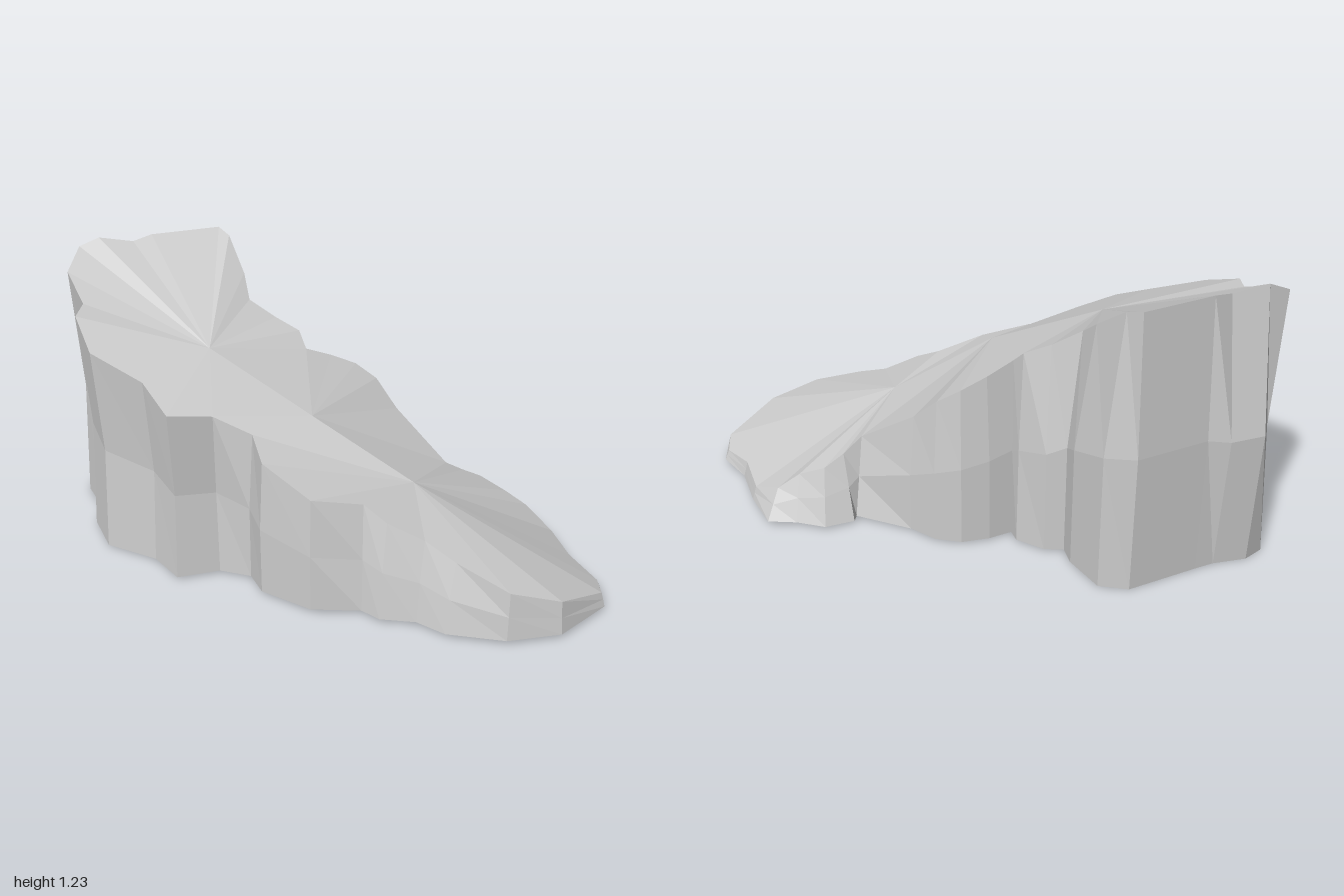
import * as THREE from 'three';

// Ridge points on the slope, from the high end to the toe
const CREST = [-0.45, 0.93, -0.25];
const SADDLE = [-0.1, 0.72, 0.1];
const RAMP = [0.28, 0.45, 0.33];

// Stretches of the rim, clockwise seen from above. Each fans to one ridge point;
// its wall leans out by flare at the foot and swells by bulge at mid height.
const stretches = [
  // tall back end, swollen half and flatter half
  { hub: CREST, flare: 0.04, bulge: 0.07, rim: [
    [-0.79, 1.235, -0.91], [-0.64, 1.21, -0.88]] },
  { hub: CREST, flare: 0.02, bulge: 0.02, rim: [
    [-0.55, 1.225, -0.9], [-0.23, 1.22, -0.91]] },
  // tall left wall
  { hub: CREST, flare: 0.08, bulge: 0.04, rim: [
    [-0.2, 1.2, -0.84], [-0.18, 1.08, -0.66], [-0.19, 1, -0.54], [-0.09, 0.93, -0.47]] },
  { hub: CREST, flare: 0.04, bulge: 0.01, rim: [[0, 0.88, -0.4]] },
  // left wall down the slope
  { hub: SADDLE, flare: 0.035, bulge: 0.015, rim: [
    [0.01, 0.82, -0.33], [0.13, 0.77, -0.33], [0.24, 0.72, -0.31],
    [0.32, 0.66, -0.25], [0.38, 0.55, -0.14]] },
  // left side of the toe
  { hub: RAMP, flare: 0.09, bulge: 0, rim: [
    [0.53, 0.37, 0.1], [0.62, 0.31, 0.09], [0.71, 0.26, 0.09],
    [0.8, 0.21, 0.17], [0.89, 0.14, 0.21]] },
  // low toe
  { hub: RAMP, flare: 0.02, bulge: 0, rim: [
    [0.95, 0.08, 0.36], [0.93, 0.09, 0.57], [0.97, 0.07, 0.75],
    [0.93, 0.09, 0.86], [0.68, 0.18, 0.97], [0.46, 0.25, 0.94]] },
  // right wall near the toe
  { hub: RAMP, flare: 0.08, bulge: 0.01, rim: [
    [0.29, 0.33, 0.78], [0.2, 0.38, 0.66], [0.06, 0.45, 0.59], [-0.01, 0.5, 0.5]] },
  // notch in the right wall
  { hub: RAMP, flare: 0.02, bulge: 0.01, rim: [[-0.23, 0.55, 0.48], [-0.38, 0.65, 0.3]] },
  { hub: SADDLE, flare: 0.04, bulge: 0.015, rim: [[-0.38, 0.71, 0.16]] },
  // tall right wall
  { hub: CREST, flare: 0, bulge: -0.03, rim: [
    [-0.53, 0.79, 0.1], [-0.72, 0.82, 0.09], [-0.78, 0.9, -0.08], [-0.96, 0.98, -0.26],
    [-0.98, 1.06, -0.47], [-0.93, 1.07, -0.57], [-0.96, 1.14, -0.78], [-0.88, 1.2, -0.92]] },
];

const loop = stretches.flatMap(({ rim, ...wall }) => rim.map((point) => ({ ...wall, rim: point })));
const at = (i) => loop[(i + loop.length) % loop.length];

// Foot and mid-height rings, pushed along the outward normal of the rim
loop.forEach((p, i) => {
  const a = at(i - 1).rim, b = at(i + 1).rim;
  const dx = b[0] - a[0], dz = b[2] - a[2], len = Math.hypot(dx, dz);
  const [x, y, z] = p.rim;
  const push = (d, height) => [x + (dz / len) * d, height, z - (dx / len) * d];
  const ground = 0.014 + 0.014 * z;
  p.base = push(p.flare, ground);
  p.mid = push(p.flare / 2 + p.bulge, (y + ground) / 2);
});

function facetedMesh(name, triangles) {
  const geometry = new THREE.BufferGeometry();
  geometry.setAttribute('position', new THREE.Float32BufferAttribute(triangles.flat(2), 3));
  geometry.computeVertexNormals();
  const mesh = new THREE.Mesh(geometry, new THREE.MeshStandardMaterial({
    color: 0xcccccc, flatShading: true, side: THREE.DoubleSide,
  }));
  mesh.name = name;
  return mesh;
}

export function createModel() {
  const slope = [], walls = [];
  loop.forEach((p, i) => {
    const q = at(i + 1);
    // Sloping top, fanned to the ridge points
    slope.push([q.rim, p.rim, p.hub]);
    if (p.hub !== q.hub) slope.push([p.hub, q.hub, q.rim]);
    // Wall in two tiers, open underneath
    for (const [up, low] of [['rim', 'mid'], ['mid', 'base']]) {
      walls.push([q[up], q[low], p[low]], [q[up], p[low], p[up]]);
    }
  });
  const group = new THREE.Group();
  group.name = 'rockRamp';
  group.add(facetedMesh('slopingTop', slope), facetedMesh('cliffWalls', walls));
  return group;
}
